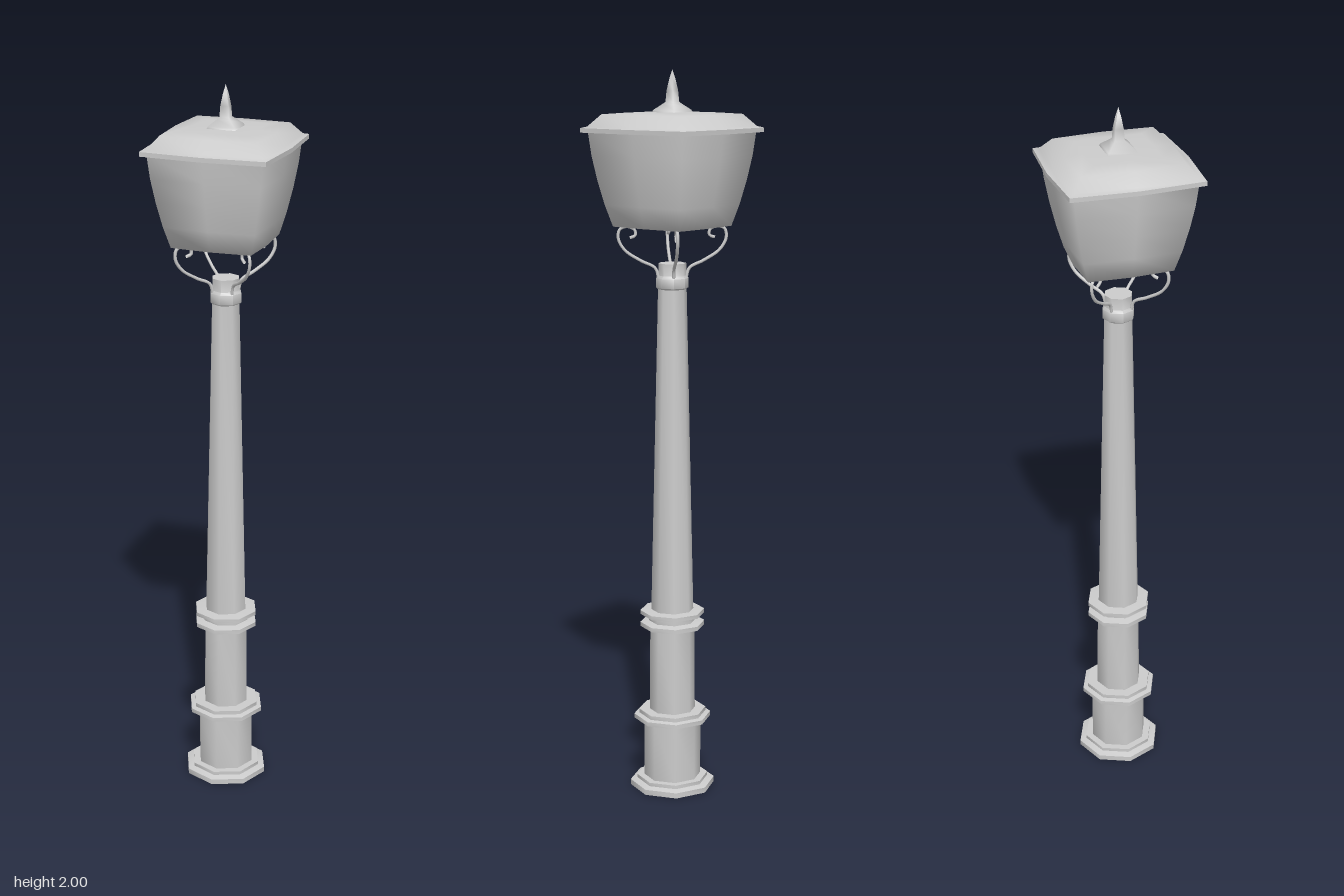
import * as THREE from 'three';
import { toCreasedNormals } from 'three/addons/utils/BufferGeometryUtils.js';

const material = new THREE.MeshStandardMaterial({ color: 0xcccccc, side: THREE.DoubleSide });

function addMesh(parent, name, geometry) {
  const mesh = new THREE.Mesh(geometry, material);
  mesh.name = name;
  parent.add(mesh);
  return mesh;
}

// Turned profile [radius, height], listed from bottom to top
function turned(profile, sides, start = 0) {
  return new THREE.LatheGeometry(profile.map(([r, y]) => new THREE.Vector2(r, y)), sides, start);
}

// Eight-point ring pushed out to a square whose sides bow slightly at their middles
function bowedSquare(profile, crease) {
  const geometry = turned(profile, 8);
  const p = geometry.attributes.position;
  for (let i = 0; i < p.count; i++) {
    const x = p.getX(i), z = p.getZ(i);
    const corner = Math.abs(x) > 1e-6 && Math.abs(z) > 1e-6;
    const k = corner ? Math.SQRT2 * 0.945 : 1;
    p.setXYZ(i, x * k, p.getY(i), z * k * 1.04);
  }
  return toCreasedNormals(geometry, crease);
}

export function createModel() {
  const group = new THREE.Group();
  group.name = 'streetLamp';

  // Octagonal post: open foot, drum, collars, tapering shaft and neck
  const foot = [[0.119, 0], [0.119, 0.015], [0.1, 0.02], [0.1, 0.03], [0.08, 0.03], [0.08, 0.2]];
  const lowerCollar = [[0.08, 0.2], [0.108, 0.2], [0.108, 0.212], [0.094, 0.215], [0.094, 0.226], [0.064, 0.226]];
  const lowerShaft = [[0.064, 0.226], [0.062, 0.47]];
  const rings = [[0.062, 0.47], [0.09, 0.47], [0.09, 0.482], [0.066, 0.486], [0.066, 0.502],
    [0.09, 0.505], [0.09, 0.516], [0.059, 0.518]];
  const upperShaft = [[0.059, 0.518], [0.039, 1.418]];
  const neck = [[0.039, 1.418], [0.044, 1.422], [0.044, 1.448], [0.038, 1.455], [0.038, 1.488], [0, 1.488]];
  const parts = { foot, lowerCollar, lowerShaft, rings, upperShaft, neck };
  for (const [name, profile] of Object.entries(parts)) {
    addMesh(group, name, toCreasedNormals(turned(profile, 8), 0.9));
  }

  // Scrolled brackets on the four diagonals
  const scroll = [[0.026, 1.445], [0.033, 1.475], [0.06, 1.495], [0.09, 1.523], [0.103, 1.555],
    [0.1, 1.58], [0.086, 1.587], [0.072, 1.578], [0.071, 1.563], [0.081, 1.557]];
  const path = new THREE.CatmullRomCurve3(
    scroll.map(([x, y]) => new THREE.Vector3(x * Math.SQRT2, y, 0)));
  const tube = new THREE.TubeGeometry(path, 48, 0.0045, 6);
  for (let i = 0; i < 4; i++) {
    addMesh(group, 'bracket', tube).rotation.y = Math.PI / 4 + i * Math.PI / 2;
  }

  // Lantern body with softly curved walls and closed underside
  addMesh(group, 'lanternBody', bowedSquare(
    [[0, 1.587], [0.117, 1.587], [0.133, 1.645], [0.147, 1.71], [0.158, 1.775], [0.165, 1.84]], Math.PI));

  // Roof with projecting rim and bevelled shoulder
  addMesh(group, 'roof', bowedSquare(
    [[0.15, 1.836], [0.18, 1.836], [0.18, 1.848], [0.166, 1.852], [0.138, 1.884], [0.09, 1.888], [0, 1.89]], 1.2));

  // Square finial drawn up to a spike
  const finial = [[0.04, 1.886], [0.036, 1.895], [0.018, 1.911], [0.013, 1.916], [0.011, 1.945], [0.006, 1.975], [0, 2]];
  addMesh(group, 'finial', toCreasedNormals(
    turned(finial.map(([r, y]) => [r * Math.SQRT2, y]), 4, Math.PI / 4), 1.7));

  return group;
}
